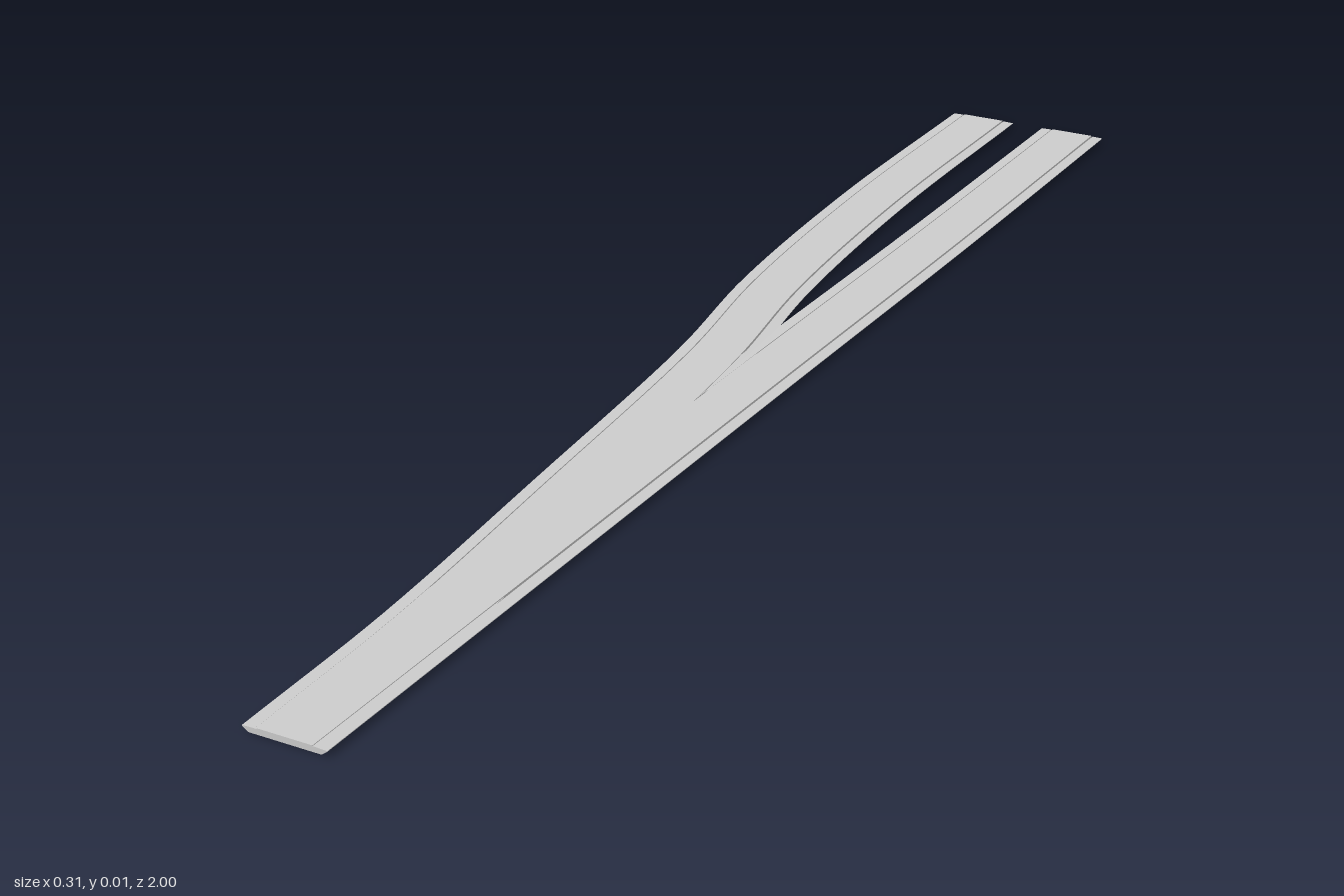
import * as THREE from 'three';

const material = new THREE.MeshStandardMaterial({ color: 0xcccccc, flatShading: true, side: THREE.DoubleSide });
const STEPS = 48;

// Sweeps a closed cross-section [offset, height] along a plan curve of [x, z] points
function sweep(path, section) {
  const curve = new THREE.CatmullRomCurve3(path.map(([x, z]) => new THREE.Vector3(x, 0, z)));
  const n = section.length;
  const positions = [];
  const index = [];
  for (let i = 0; i <= STEPS; i++) {
    const p = curve.getPoint(i / STEPS);
    for (const [offset, y] of section) positions.push(p.x + offset, y, p.z);
  }
  for (let i = 0; i < STEPS; i++) {
    for (let j = 0; j < n; j++) {
      const a = i * n + j;
      const b = i * n + (j + 1) % n;
      index.push(a, a + n, b, b, a + n, b + n);
    }
  }
  // end caps
  const last = STEPS * n;
  for (let j = 1; j < n - 1; j++) {
    index.push(0, j, j + 1, last, last + j + 1, last + j);
  }
  const geometry = new THREE.BufferGeometry();
  geometry.setAttribute('position', new THREE.Float32BufferAttribute(positions, 3));
  geometry.setIndex(index);
  geometry.computeVertexNormals();
  return geometry;
}

// Sections run clockwise seen from the front
const deckSection = [[-0.031, 0], [-0.031, 0.007], [0.031, 0.007], [0.031, 0]];
const rightShoulder = [[-0.041, 0], [-0.048, 0.005], [-0.048, 0.0058], [-0.033, 0.0062], [-0.033, 0]];
const leftShoulder = rightShoulder.map(([x, y]) => [-x, y]).reverse();

// One track: raised deck with a lower shoulder past a narrow slot on each side
function makeTrack(name, path) {
  const track = new THREE.Group();
  track.name = name;
  const parts = { deck: deckSection, leftShoulder, rightShoulder };
  for (const [part, section] of Object.entries(parts)) {
    const mesh = new THREE.Mesh(sweep(path, section), material);
    mesh.name = part;
    track.add(mesh);
  }
  return track;
}

export function createModel() {
  const model = new THREE.Group();
  model.name = 'forkedTrack';
  // nearly straight main line and the branch curving away from it
  model.add(
    makeTrack('mainTrack', [[0.036, -1], [0.057, -0.5], [0.073, 0], [0.09, 0.5], [0.107, 1]]),
    makeTrack('branchTrack', [[-0.107, -1], [-0.087, -0.6], [-0.05, -0.25], [-0.003, 0], [0.047, 0.4], [0.088, 0.75], [0.104, 1]]),
  );
  return model;
}
